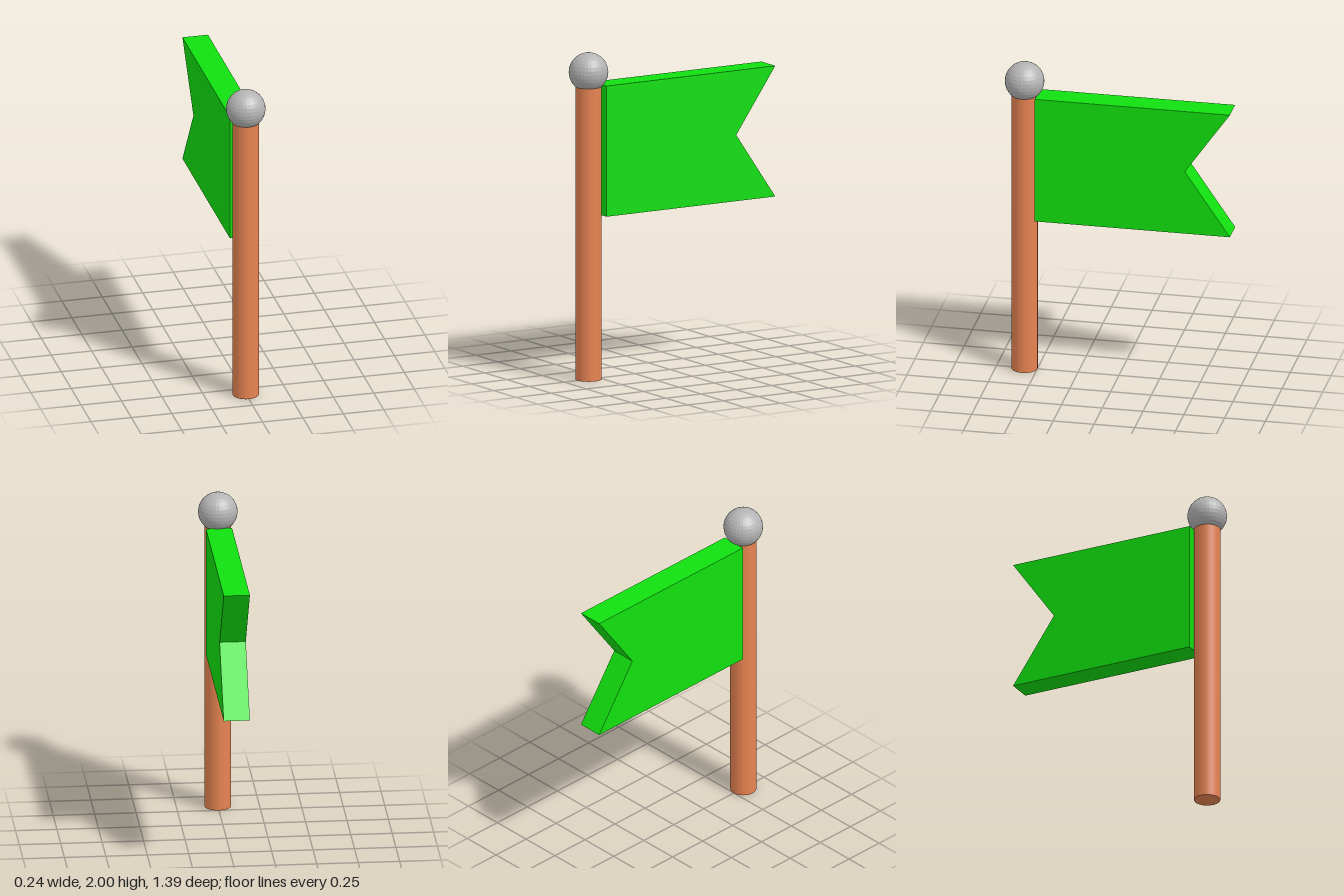
import * as THREE from 'three';

const POLE_Z = 0.58;
const POLE_RADIUS = 0.079;
const POLE_HEIGHT = 1.8;
const BALL_RADIUS = 0.119;

function part(name, geometry, color) {
  const mesh = new THREE.Mesh(geometry, new THREE.MeshStandardMaterial({ color, flatShading: true }));
  mesh.name = name;
  return mesh;
}

export function createModel() {
  const model = new THREE.Group();
  model.name = 'flagOnPole';

  // Round pole standing on the ground
  const pole = part('pole', new THREE.CylinderGeometry(POLE_RADIUS, POLE_RADIUS, POLE_HEIGHT, 32), 0xe78352);
  pole.position.set(0, POLE_HEIGHT / 2, POLE_Z - 0.002);

  // Ball on top of the pole
  const ball = part('finial', new THREE.SphereGeometry(BALL_RADIUS, 32, 16), 0xb4b4b4);
  ball.position.set(0, 2 - BALL_RADIUS, POLE_Z - 0.002);

  // Thick swallowtail flag: outline runs backwards from the pole, thickness along x
  const outline = new THREE.Shape([
    [-0.5, 1.0], [0.697, 1.0], [0.42, 1.405], [0.697, 1.8], [-0.5, 1.8],
  ].map(([u, v]) => new THREE.Vector2(u, v)));
  const cloth = new THREE.ExtrudeGeometry(outline, { depth: 2 * POLE_RADIUS, bevelEnabled: false });
  cloth.translate(0, 0, -POLE_RADIUS);
  cloth.rotateY(Math.PI / 2);
  const flag = part('flag', cloth, 0x11e00f);

  model.add(pole, ball, flag);
  return model;
}
